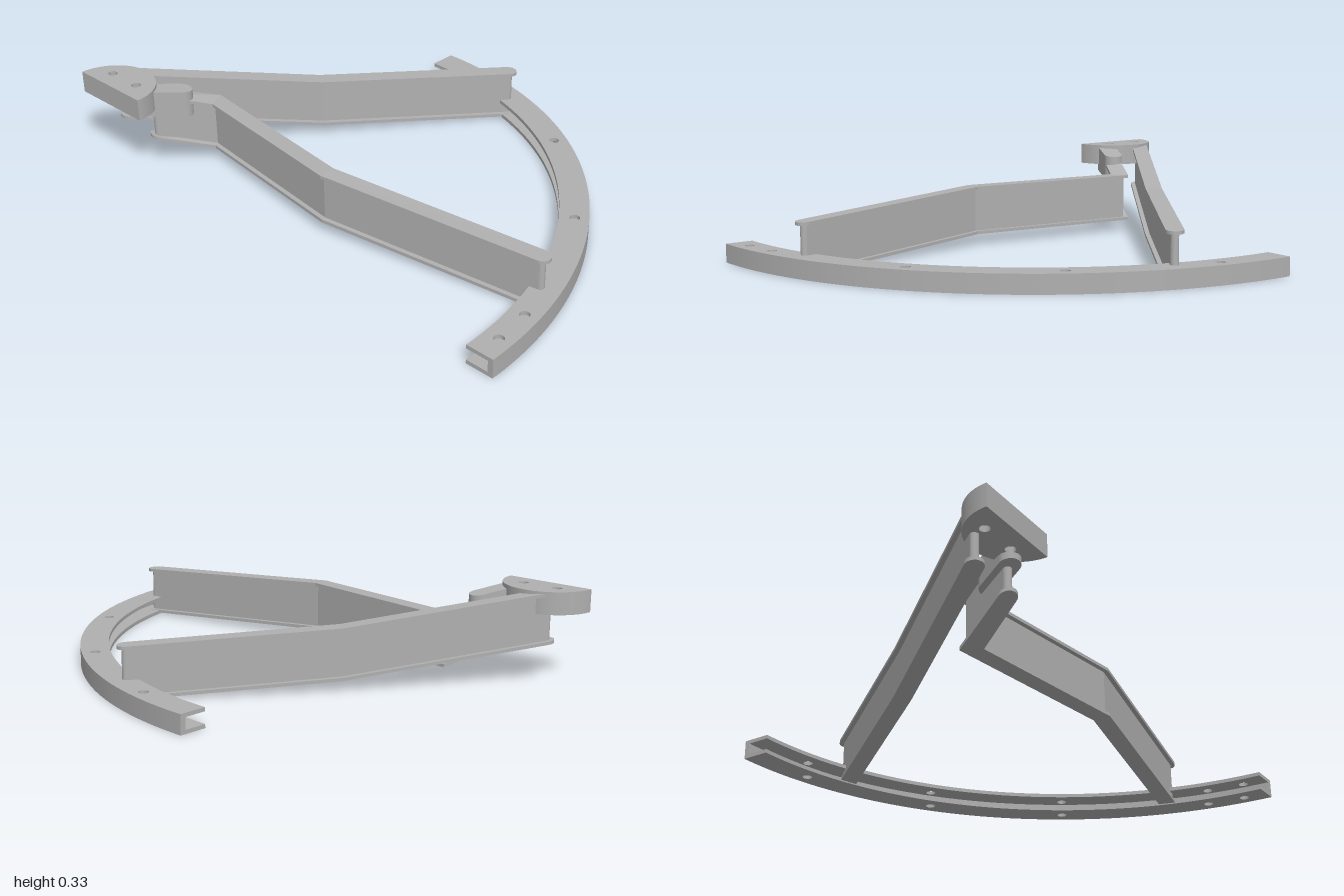
import * as THREE from 'three';

const steel = new THREE.MeshStandardMaterial({ color: 0xb0b0b0 });
steel.name = 'steel grey';

function mesh(geometry, name) {
  const m = new THREE.Mesh(geometry, steel);
  m.name = name;
  return m;
}

// Plan outline (x, -z) pushed upward from y0 to y1
function slab(shape, y0, y1, name) {
  const g = new THREE.ExtrudeGeometry(shape, { depth: y1 - y0, bevelEnabled: false, curveSegments: 64 });
  g.rotateX(-Math.PI / 2).translate(0, y0, 0);
  return mesh(g, name);
}

function hole(shape, x, z, r = 0.018) {
  shape.holes.push(new THREE.Path().absarc(x, -z, r, 0, Math.PI * 2, true));
}

// Bar with rounded ends and a rectangular section, swept along [x, y, z] points
function bar(points, half, low, high, name) {
  const P = points.map((p) => new THREE.Vector3(...p));
  const flat = (a, b) => new THREE.Vector3(b.x - a.x, 0, b.z - a.z).normalize();
  const rings = [];
  const ring = (p, side, w) => rings.push(
    [[-w, low], [w, low], [w, high], [-w, high]].map(([s, y]) => [p.x + side.x * s, p.y + y, p.z + side.z * s]));
  const sideOf = (d) => new THREE.Vector3(-d.z, 0, d.x);
  const steps = 8, last = P.length - 1;
  const cap = (p, q, end) => {
    const d = flat(p, q);
    const run = Math.hypot(q.x - p.x, q.z - p.z);
    const slope = (q.y - p.y) / run;
    for (let i = 0; i < steps; i++) {
      const a = (end ? steps - i : i) / steps * Math.PI / 2;
      const out = -half * Math.cos(a);
      const c = p.clone().addScaledVector(d, out);
      c.y += slope * out;
      ring(c, sideOf(d).multiplyScalar(end ? -1 : 1), Math.max(half * Math.sin(a), 0.0005));
    }
  };
  cap(P[0], P[1], false);
  P.forEach((p, i) => {
    const a = flat(P[Math.max(i - 1, 0)], P[Math.max(i, 1)]);
    const b = flat(P[Math.min(i, last - 1)], P[Math.min(i + 1, last)]);
    const side = sideOf(a).add(sideOf(b)).normalize();
    ring(p, side, half / side.dot(sideOf(a)));
  });
  cap(P[last], P[last - 1], true);

  const v = [];
  const quad = (a, b, c, d) => v.push(...a, ...b, ...c, ...a, ...c, ...d);
  for (let i = 0; i + 1 < rings.length; i++) {
    for (let k = 0; k < 4; k++) {
      const n = (k + 1) % 4;
      quad(rings[i][k], rings[i + 1][k], rings[i + 1][n], rings[i][n]);
    }
  }
  const r0 = rings[0], r1 = rings[rings.length - 1];
  quad(r0[0], r0[1], r0[2], r0[3]);
  quad(r1[3], r1[2], r1[1], r1[0]);
  const g = new THREE.BufferGeometry();
  g.setAttribute('position', new THREE.Float32BufferAttribute(v, 3));
  g.computeVertexNormals();
  return mesh(g, name);
}

// I-section: two flanges joined by a web; y of the path is the underside
function iBeam(path, name) {
  const h = 0.188, t = 0.012;
  const g = new THREE.Group();
  g.name = name;
  g.add(
    bar(path, 0.032, 0, t, 'bottomFlange'),
    bar(path, 0.015, t, h - t, 'web'),
    bar(path, 0.032, h - t, h, 'topFlange'));
  return g;
}

// Quarter-circle channel, open toward its centre
function curvedRail() {
  const g = new THREE.Group();
  g.name = 'curvedRail';
  const cx = -0.44, cz = 0.72, outer = 1.44, inner = 1.335;
  const sector = (r) => {
    const s = new THREE.Shape();
    s.absarc(cx, -cz, outer, 0, Math.PI / 2, false);
    s.absarc(cx, -cz, r, Math.PI / 2, 0, true);
    s.closePath();
    return s;
  };
  const flange = sector(inner);
  for (const deg of [3.7, 9.7, 34.1, 56.4, 79.1]) {
    const a = THREE.MathUtils.degToRad(deg);
    hole(flange, cx + 1.39 * Math.cos(a), cz - 1.39 * Math.sin(a));
  }
  g.add(
    slab(flange, 0, 0.014, 'railBottomFlange'),
    slab(sector(outer - 0.02), 0.014, 0.056, 'railWeb'),
    slab(flange, 0.056, 0.07, 'railTopFlange'));
  return g;
}

// Half-round pivot plate with two bolt holes
function pivotPlate() {
  const s = new THREE.Shape();
  s.absarc(-0.832, -0.72, 0.168, 0, Math.PI, false);
  s.closePath();
  hole(s, -0.905, 0.65);
  hole(s, -0.765, 0.65);
  return slab(s, 0.248, 0.33, 'pivotPlate');
}

export function createModel() {
  const model = new THREE.Group();
  model.name = 'swingFrame';
  model.add(
    curvedRail(),
    pivotPlate(),
    iBeam([[-0.895, 0.138, 0.605], [-0.46, 0.038, 0.015], [-0.02, 0.003, -0.585]], 'rearBeam'),
    iBeam([[-0.715, 0.115, 0.605], [-0.615, 0.042, 0.405], [0.065, 0.042, 0.49], [0.875, 0.003, 0.34]], 'frontBeam'),
    // Solid lug joining the front beam to the pivot plate
    bar([[-0.725, 0.32, 0.62], [-0.672, 0.3, 0.515]], 0.037, -0.1, 0, 'pivotLug'));
  return model;
}
